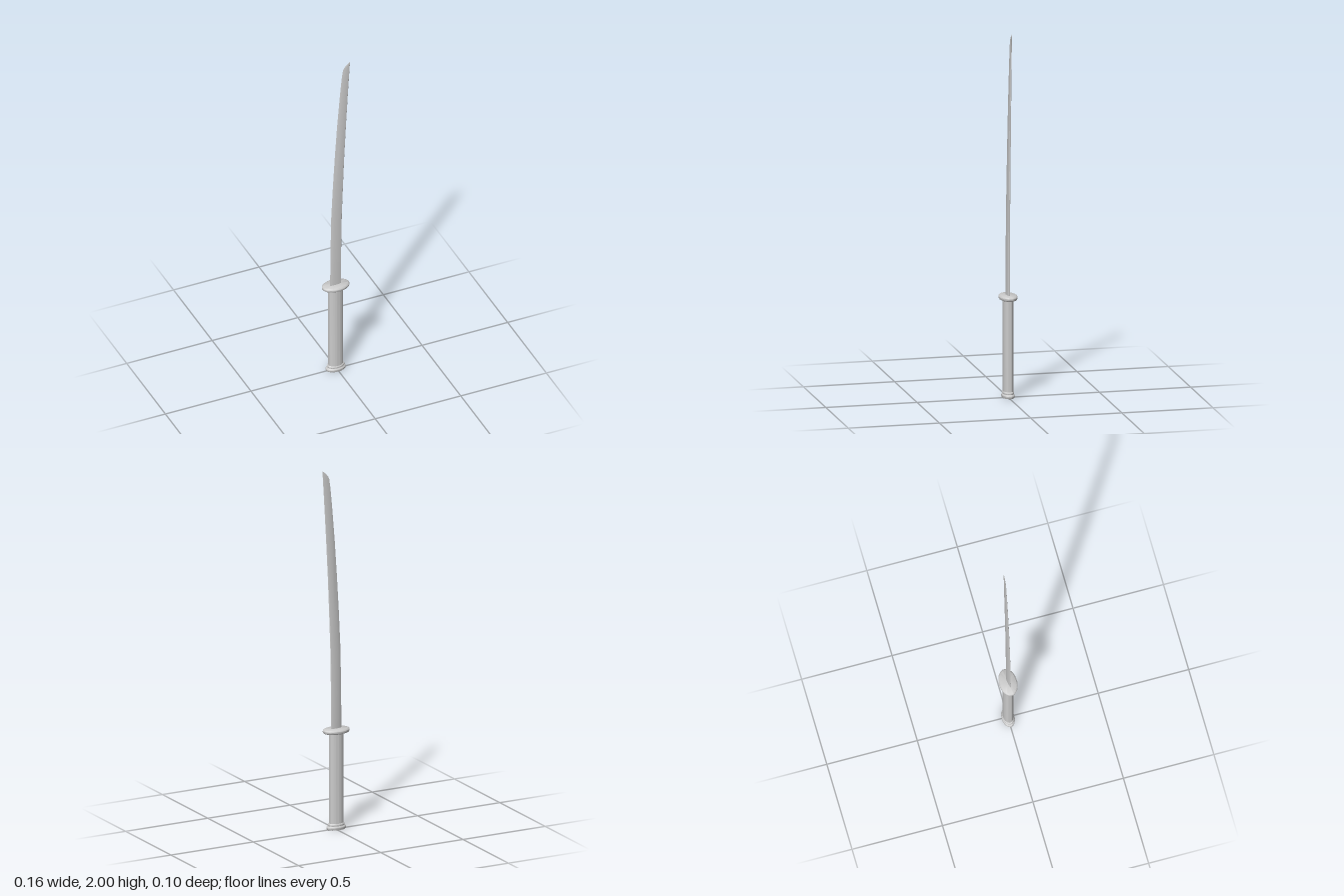
import * as THREE from 'three';
import { toCreasedNormals } from 'three/addons/utils/BufferGeometryUtils.js';

const material = new THREE.MeshStandardMaterial({ color: 0xcccccc });
const axisX = -0.005; // centre line of the hilt

// Oval turned part: profile holds [half width, height], squashed in depth
function ovalPart(name, profile, depthRatio) {
  const points = profile.map(([r, y]) => new THREE.Vector2(r, y));
  const geometry = new THREE.LatheGeometry(points, 40);
  geometry.scale(1, 1, depthRatio);
  geometry.translate(axisX, 0, 0);
  const mesh = new THREE.Mesh(toCreasedNormals(geometry, 0.9), material);
  mesh.name = name;
  return mesh;
}

// Blade lofted from lens-shaped sections with a slightly yawed cutting edge
function makeBlade() {
  // height, cutting edge x, spine x, half thickness
  const rows = [
    [0.54, -0.04, 0.027, 0.0065], [0.75, -0.038, 0.027, 0.0065],
    [1.0, -0.033, 0.031, 0.006], [1.2, -0.023, 0.038, 0.006],
    [1.4, -0.011, 0.046, 0.0055], [1.6, 0.003, 0.056, 0.005],
    [1.8, 0.02, 0.067, 0.004], [1.9, 0.03, 0.073, 0.003],
    [1.95, 0.037, 0.076, 0.0025], [1.967, 0.044, 0.077, 0.002],
    [1.985, 0.06, 0.0785, 0.0015], [2.0, 0.079, 0.08, 0.0004],
  ];
  // fraction across the blade, fraction of the thickness
  const half = [[0, 0], [0.1, 0.4], [0.3, 0.8], [0.55, 1], [0.8, 0.9], [0.96, 0.6], [1, 0]];
  const section = [...half, ...half.slice(1, -1).reverse().map(([u, t]) => [u, -t])];
  const n = section.length;
  const positions = [], index = [];
  for (const [y, edge, spine, thick] of rows) {
    const yaw = 0.006 * Math.max(0, (2 - y) / 1.46);
    for (const [u, t] of section) {
      positions.push(edge + u * (spine - edge), y, t * thick + yaw * (1 - u) ** 1.5);
    }
  }
  for (let r = 0; r < rows.length - 1; r++) {
    for (let i = 0; i < n; i++) {
      const a = r * n + i, b = r * n + (i + 1) % n;
      index.push(a, b, b + n, a, b + n, a + n);
    }
  }
  // end caps
  const top = (rows.length - 1) * n;
  for (let i = 1; i < n - 1; i++) {
    index.push(0, i + 1, i, top, top + i, top + i + 1);
  }
  const geometry = new THREE.BufferGeometry();
  geometry.setAttribute('position', new THREE.Float32BufferAttribute(positions, 3));
  geometry.setIndex(index);
  const mesh = new THREE.Mesh(toCreasedNormals(geometry, 0.6), material);
  mesh.name = 'blade';
  return mesh;
}

export function createModel() {
  const group = new THREE.Group();
  group.name = 'sword';
  group.add(
    ovalPart('pommel', [
      [0, 0], [0.052, 0], [0.056, 0.004], [0.057, 0.01], [0.055, 0.016], [0.05, 0.019],
      [0.047, 0.021], [0.049, 0.026], [0.048, 0.032], [0.044, 0.035], [0, 0.035],
    ], 0.61),
    ovalPart('grip', [[0, 0.03], [0.042, 0.03], [0.042, 0.538], [0, 0.538]], 0.65),
    ovalPart('guard', [
      [0, 0.535], [0.066, 0.535], [0.073, 0.538], [0.077, 0.543], [0.078, 0.548],
      [0.077, 0.553], [0.073, 0.557], [0.068, 0.559], [0, 0.559],
    ], 0.63),
    makeBlade(),
  );
  return group;
}
